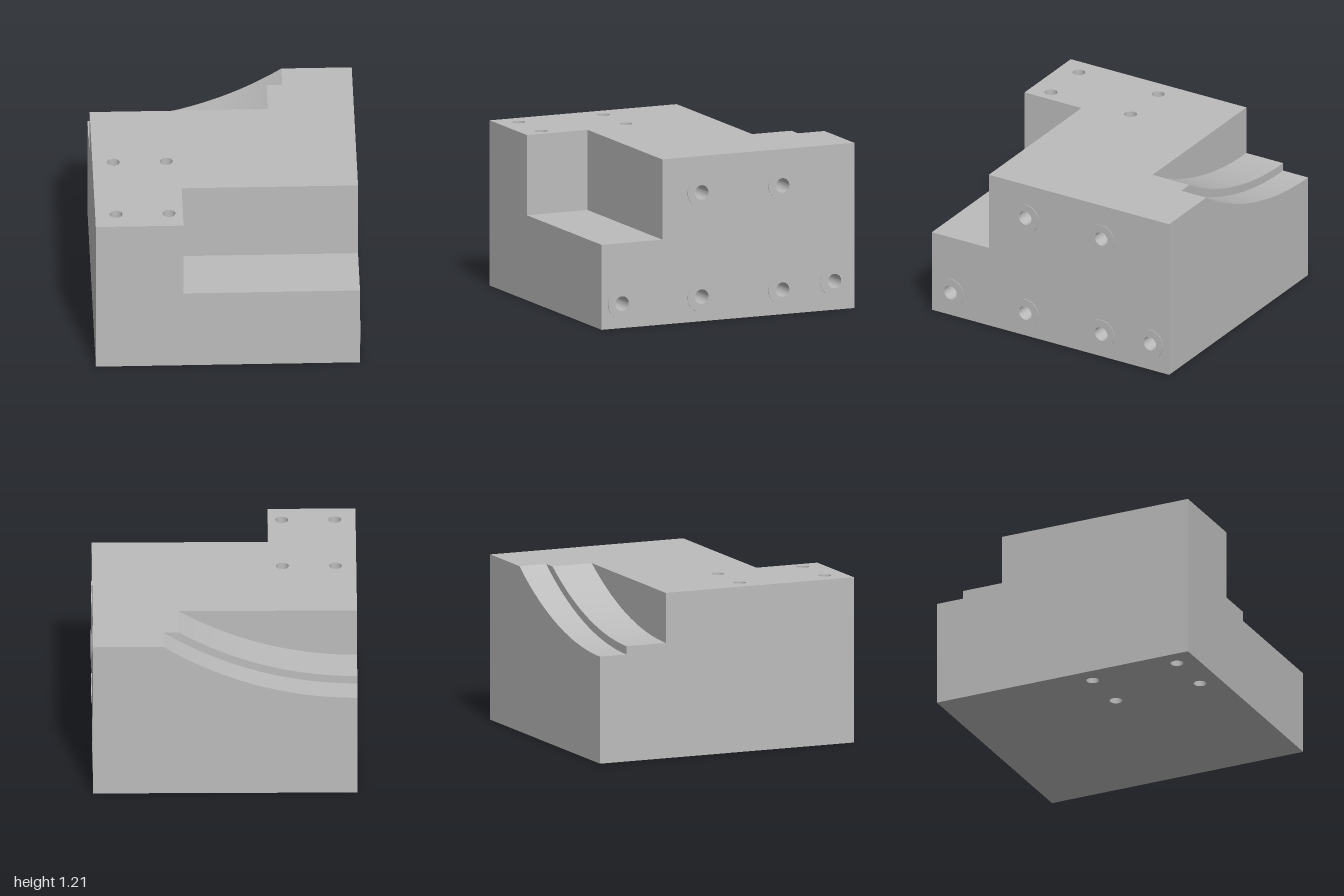
import * as THREE from 'three';

const L = -0.95, R = 0.945, T = 1.205;        // block: x limits and top
const NX = -0.32, NY = 0.62, NZ = 0.52;       // front notch corner
const Z1 = -0.79, Z2 = -0.48;                 // walls of the two arc steps
const CY = 3.266, R1 = 2.486, R2 = 2.426;     // concentric arcs about (L, CY)
const HOLE = 0.046, BORE = 0.053, BOSS = 0.11, LIP = 0.005, DEPTH = 0.4;

const angleEnd = (r) => Math.acos((CY - T) / r);
const arcPoint = (r, t) => {
  const a = angleEnd(r) * t;
  return [L + r * Math.sin(a), CY - r * Math.cos(a)];
};
// Arc points from the right-hand side face up to the top, x mirrored for a back view
const backArc = (r) => Array.from({ length: 25 }, (_, i) => {
  const [x, y] = arcPoint(r, i / 24);
  return [-x, y];
});

export function createModel() {
  const group = new THREE.Group();
  group.name = 'machinedBlock';
  const grey = new THREE.MeshStandardMaterial({ color: 0xbcbcbc });
  grey.name = 'grey';

  const add = (name, geometry) => {
    const mesh = new THREE.Mesh(geometry, grey);
    mesh.name = name;
    group.add(mesh);
    return mesh;
  };

  const X = new THREE.Vector3(1, 0, 0), Y = new THREE.Vector3(0, 1, 0), Z = new THREE.Vector3(0, 0, 1);
  const neg = (v) => v.clone().negate();

  // Flat face spanned by u and v, offset along its outward normal
  const panel = (name, u, v, offset, pts, holes = [], radius = 0) => {
    const shape = new THREE.Shape(pts.map(([a, b]) => new THREE.Vector2(a, b)));
    for (const [a, b] of holes) {
      shape.holes.push(new THREE.Path().absarc(a, b, radius, 0, Math.PI * 2, true));
    }
    const n = u.clone().cross(v);
    const m = new THREE.Matrix4().makeBasis(u, v, n).setPosition(n.clone().multiplyScalar(offset));
    add(name, new THREE.ShapeGeometry(shape, 16).applyMatrix4(m));
  };
  const rect = (a0, b0, a1, b1) => [[a0, b0], [a1, b0], [a1, b1], [a0, b1]];

  const topHoles = [];
  for (const x of [-0.8, -0.42]) for (const z of [0.17, 0.84]) topHoles.push([x, z]);
  const sideHoles = [[0.21, 0.94], [-0.43, 0.94], [0.84, 0.18], [0.21, 0.18], [-0.43, 0.18], [-0.84, 0.21]];

  const x1 = arcPoint(R1, 1)[0], x2 = arcPoint(R2, 1)[0];
  const y1 = CY - R1, y2 = CY - R2;
  const arc1 = backArc(R1), arc2 = backArc(R2);

  // Outer faces
  panel('frontFace', X, Y, 1, [[L, 0], [R, 0], [R, NY], [NX, NY], [NX, T], [L, T]]);
  panel('boredSideFace', neg(Z), Y, R,
    [[-1, 0], [1, 0], [1, T], [-NZ, T], [-NZ, NY], [-1, NY]],
    sideHoles.map(([z, y]) => [-z, y]), BORE);
  panel('plainSideFace', Z, Y, -L,
    [[-1, 0], [1, 0], [1, T], [Z2, T], [Z2, y2], [Z1, y2], [Z1, y1], [-1, y1]]);
  panel('topFace', X, neg(Z), T,
    [[L, -1], [NX, -1], [NX, -NZ], [R, -NZ], [R, 1], [x1, 1], [x1, -Z1], [x2, -Z1], [x2, -Z2], [L, -Z2]],
    topHoles.map(([x, z]) => [x, -z]), HOLE);
  panel('bottomFace', X, Z, 0, rect(L, -1, R, 1), topHoles, HOLE);
  panel('backFace', neg(X), Y, 1, [[-R, 0], [-L, 0], ...arc1, [-R, T]]);

  // Front notch
  panel('notchFloor', X, neg(Z), NY, rect(NX, -1, R, -NZ));
  panel('notchBackWall', X, Y, NZ, rect(NX, NY, R, T));
  panel('notchSideWall', neg(Z), Y, NX, rect(-1, NY, -NZ, T));

  // Stepped arc cut at the back
  panel('arcStepWall', neg(X), Y, -Z1, [...arc1, ...arc2.slice().reverse()]);
  panel('arcInnerWall', neg(X), Y, -Z2, [...arc2, [-L, T]]);
  const arcFloor = (name, r, zBack, zFront) => {
    const g = new THREE.PlaneGeometry(1, 1, 24, 1);
    const p = g.attributes.position;
    for (let i = 0; i < p.count; i++) {
      const [x, y] = arcPoint(r, p.getX(i) + 0.5);
      p.setXYZ(i, x, y, p.getY(i) > 0 ? zBack : zFront);
    }
    g.computeVertexNormals();
    add(name, g);
  };
  arcFloor('outerArcFloor', R1, -1, Z1);
  arcFloor('innerArcFloor', R2, Z1, Z2);

  // Inward-facing hole wall along y
  const boreWall = (radius, length) => {
    const g = new THREE.CylinderGeometry(radius, radius, length, 32, 1, true);
    g.scale(1, 1, -1);
    g.computeVertexNormals();
    return g;
  };
  for (const [x, z] of topHoles) {
    add('throughHole', boreWall(HOLE, T)).position.set(x, T / 2, z);
  }

  // Blind side bores with thin raised seats
  for (const [z, y] of sideHoles) {
    const len = DEPTH + LIP;
    add('sideBore', boreWall(BORE, len).rotateZ(Math.PI / 2)).position.set(R + LIP - len / 2, y, z);
    add('boreEnd', new THREE.CircleGeometry(BORE, 32).rotateY(Math.PI / 2)).position.set(R - DEPTH, y, z);
    add('boreSeat', new THREE.RingGeometry(BORE, BOSS, 32).rotateY(Math.PI / 2)).position.set(R + LIP, y, z);
    add('boreSeatEdge', new THREE.CylinderGeometry(BOSS, BOSS, LIP, 32, 1, true).rotateZ(Math.PI / 2))
      .position.set(R + LIP / 2, y, z);
  }
  return group;
}
